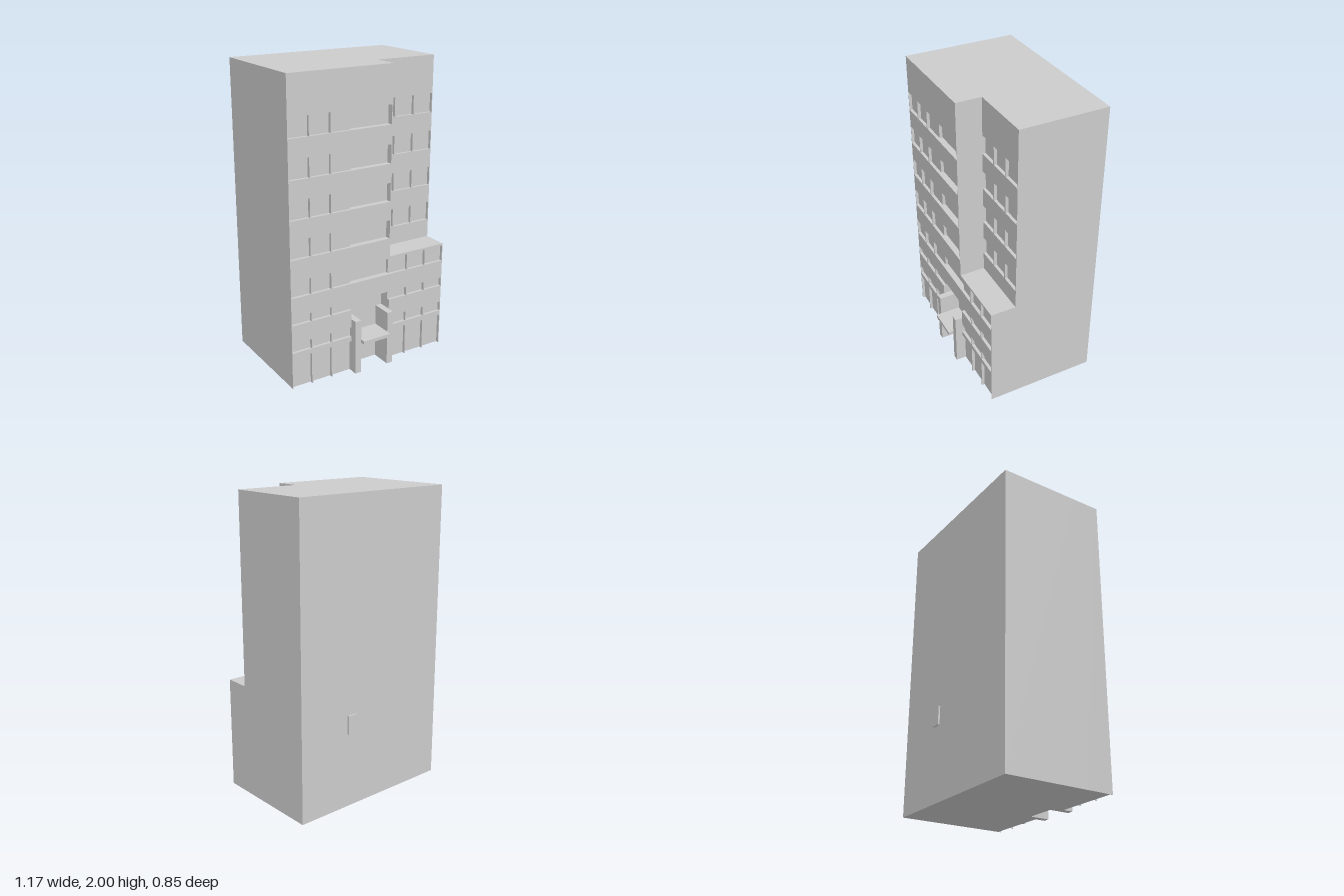
import * as THREE from 'three';

const material = new THREE.MeshStandardMaterial({ color: 0xcccccc, flatShading: true });

// Main planes: half width, centre-bay half width, back wall, front faces, recesses
const W = 0.585, C = 0.147, BACK = -0.412, FRONT = 0.34, SETBACK = 0.17;
const PANE = 0.02, BAY = 0.3, DOOR = 0.25, CORE = SETBACK - PANE;
const TOP = 2, PODIUM = 0.75, END = 0.004;

// Window rows as [bottom, top], ground floor first
const ROWS = [[0, 0.215], [0.25, 0.317], [0.44, 0.5], [0.625, 0.735],
  [0.875, 1], [1.125, 1.25], [1.375, 1.5], [1.625, 1.75]];

export function createModel() {
  const model = new THREE.Group();
  model.name = 'building';

  // Box given by its limits on each axis
  const box = (parent, name, x0, x1, y0, y1, z0, z1) => {
    const mesh = new THREE.Mesh(new THREE.BoxGeometry(x1 - x0, y1 - y0, z1 - z0), material);
    mesh.position.set((x0 + x1) / 2, (y0 + y1) / 2, (z0 + z1) / 2);
    mesh.name = name;
    parent.add(mesh);
  };
  const group = (name) => {
    const g = new THREE.Group();
    g.name = name;
    model.add(g);
    return g;
  };

  // Solid masses behind the facade; their fronts are the window panes
  const core = group('core');
  box(core, 'rearBlock', -W, W, 0, TOP, BACK, CORE);
  box(core, 'rightWing', -W, -C, 0, TOP, CORE, FRONT - PANE);
  box(core, 'centreBay', -C, C, 0.5, TOP, CORE, BAY);
  box(core, 'entranceWall', -C, C, 0, 0.5, CORE, DOOR);
  box(core, 'podium', C, W, 0, PODIUM, CORE, FRONT - PANE);

  // Wall bands between window rows, with fins dividing the windows
  const facade = (name, x0, x1, y0, y1, z0, z1, fins) => {
    const g = group(name);
    let bottom = y0;
    for (const [low, high] of ROWS) {
      if (low < y0 || high > y1) continue;
      if (low > bottom) box(g, 'wallBand', x0, x1, bottom, low, z0, z1);
      for (const [a, b] of fins) box(g, 'windowFin', a, b, low, high, z0, z1);
      bottom = high;
    }
    box(g, 'wallBand', x0, x1, bottom, y1, z0, z1);
  };
  const fin = (x) => [x - 0.004, x + 0.004];
  const rightFins = [[-W, -W + END], fin(-0.44), fin(-0.294)];
  const leftFins = [fin(0.29), fin(0.437), [W - END, W]];
  facade('rightFacade', -W, -C, 0, TOP, FRONT - PANE, FRONT, rightFins);
  facade('centreFacade', -C, C, 0.5, PODIUM, BAY, FRONT, []);
  facade('upperCentreFacade', -C, C, PODIUM, TOP, BAY, FRONT, [[C - END, C]]);
  facade('podiumFacade', C, W, 0, PODIUM, FRONT - PANE, FRONT, leftFins);
  facade('setbackFacade', C, W, PODIUM, TOP, CORE, SETBACK, leftFins);

  // Entrance: two flanking piers and a canopy
  const entrance = group('entrance');
  box(entrance, 'leftPier', 0.103, C, 0, 0.375, DOOR, 0.39);
  box(entrance, 'rightPier', -C, -0.103, 0, 0.375, DOOR, 0.39);
  box(entrance, 'canopy', -0.103, 0.103, 0.215, 0.238, DOOR, 0.424);

  // Small panel on the back wall
  box(model, 'backPanel', 0.15, 0.217, 0.5, 0.625, -0.424, BACK);

  return model;
}
